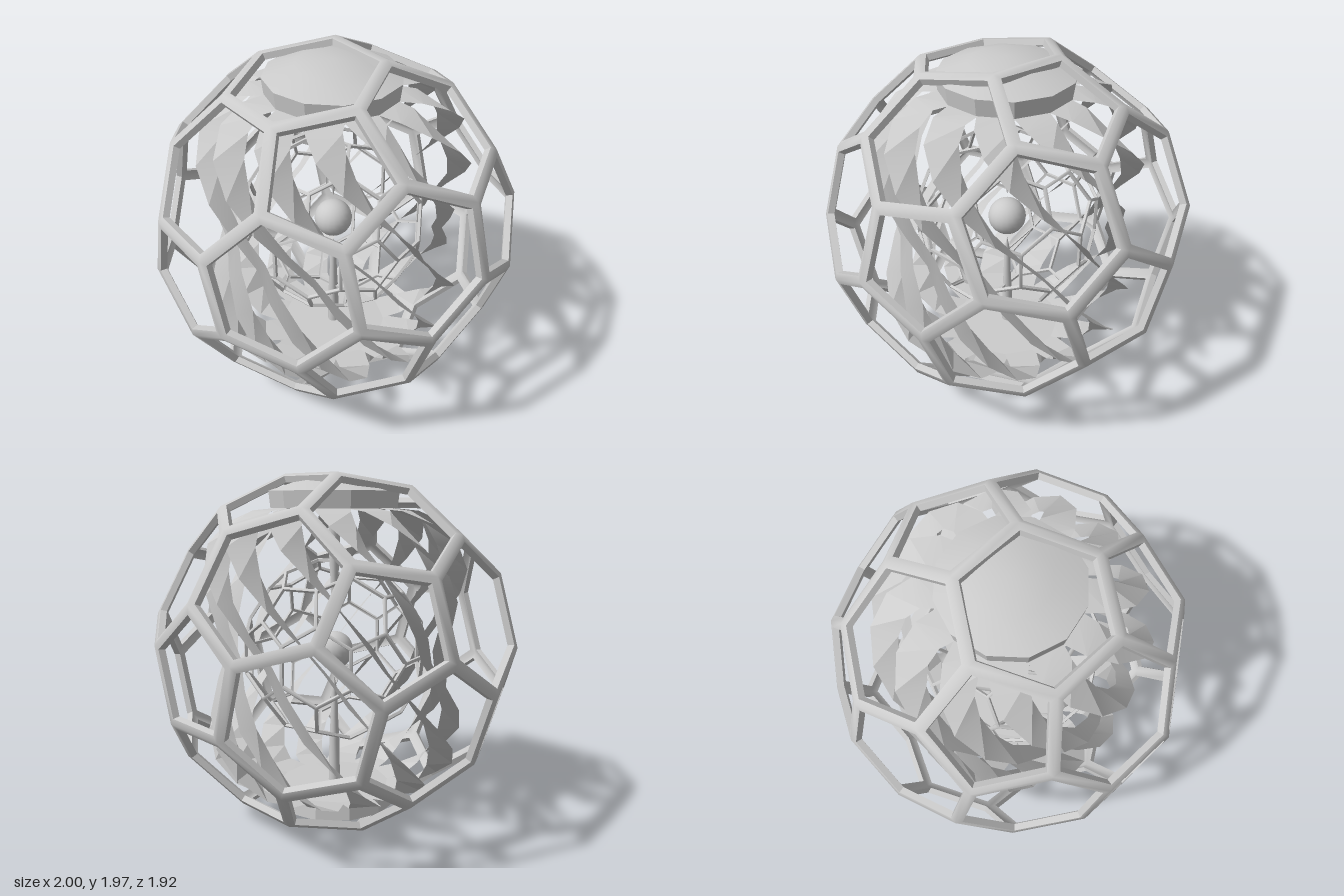
import * as THREE from 'three';
import { toCreasedNormals } from 'three/addons/utils/BufferGeometryUtils.js';

const PHI = (1 + Math.sqrt(5)) / 2;
const CENTRE = 0.984;

// All sign changes and cyclic shifts of a coordinate triple, without repeats
function orbit(a, b, c) {
  const found = new Map();
  for (const s of [-1, 1]) for (const t of [-1, 1]) for (const u of [-1, 1]) {
    const p = [a * s, b * t, c * u];
    for (let k = 0; k < 3; k++) {
      const v = new THREE.Vector3(p[k], p[(k + 1) % 3], p[(k + 2) % 3]);
      found.set(v.toArray().map(n => Math.round(n * 1000) || 0).join(), v);
    }
  }
  return [...found.values()];
}

const quad = (out, a, b, c, d) => {
  for (const p of [a, b, c, a, c, d]) out.push(p.x, p.y, p.z);
};

function surface(positions, crease) {
  const g = new THREE.BufferGeometry();
  g.setAttribute('position', new THREE.Float32BufferAttribute(positions, 3));
  return toCreasedNormals(g, crease);
}

// Shell of pentagons and hexagons with every face opened to a narrow rim
function cageGeometry(radius, rim, depth) {
  const corners = [...orbit(0, 1, 3 * PHI), ...orbit(1, 2 + PHI, 2 * PHI), ...orbit(PHI, 2, 2 * PHI + 1)]
    .map(v => v.normalize().multiplyScalar(radius));
  const facing = [...orbit(0, 1, PHI), ...orbit(1, 1, 1), ...orbit(0, PHI, 1 / PHI)];
  const shrink = 1 - depth / radius;
  const low = v => v.clone().multiplyScalar(shrink);
  const out = [];
  for (const dir of facing) {
    const n = dir.clone().normalize();
    const top = Math.max(...corners.map(v => v.dot(n)));
    const loop = corners.filter(v => v.dot(n) > top - radius * 0.001);
    const mid = loop.reduce((s, v) => s.add(v), new THREE.Vector3()).divideScalar(loop.length);
    const ax = loop[0].clone().sub(mid).normalize();
    const ay = n.clone().cross(ax);
    const angle = v => Math.atan2(v.clone().sub(mid).dot(ay), v.clone().sub(mid).dot(ax));
    loop.sort((p, q) => angle(p) - angle(q));
    const apothem = loop[0].distanceTo(mid) * Math.cos(Math.PI / loop.length);
    const inset = loop.map(v => v.clone().lerp(mid, rim / apothem));
    loop.forEach((a, i) => {
      const j = (i + 1) % loop.length, b = loop[j], c = inset[j], d = inset[i];
      quad(out, a, b, c, d);
      quad(out, d, c, low(c), low(d));
      quad(out, low(d), low(c), low(b), low(a));
    });
  }
  return surface(out, 0.9);
}

// Spiral ribbon whose width stays level: broad at both roots, slim at the equator
function bladeGeometry() {
  // radius, height, half width
  const half = [[0.30, 0.80, 0.095], [0.44, 0.785, 0.088], [0.55, 0.72, 0.082], [0.63, 0.61, 0.075],
    [0.67, 0.47, 0.065], [0.67, 0.32, 0.05], [0.63, 0.15, 0.036], [0.59, 0, 0.03]];
  const profile = [...half, ...half.slice(0, -1).reverse().map(([r, y, w]) => [r, -y, w])];
  const path = profile.map(([r, y]) => {
    const a = 1.25 * (0.8 - y);
    return new THREE.Vector3(Math.sin(a) * r, y, Math.cos(a) * r);
  });
  const last = path.length - 1;
  const edges = path.map((p, i) => {
    const t = path[Math.min(i + 1, last)].clone().sub(path[Math.max(i - 1, 0)]);
    const across = new THREE.Vector3(-t.z, 0, t.x).normalize();
    return [-1, 1].map(s => p.clone().addScaledVector(across, s * profile[i][2]));
  });
  const out = [];
  for (let i = 0; i < last; i++) quad(out, edges[i][0], edges[i][1], edges[i + 1][1], edges[i + 1][0]);
  return surface(out, 0.3);
}

function lathe(points, sides, crease) {
  const g = new THREE.LatheGeometry(points.map(p => new THREE.Vector2(...p)), sides);
  return toCreasedNormals(g, crease);
}

export function createModel() {
  const model = new THREE.Group();
  model.name = 'cagedOrb';
  const body = new THREE.Group();
  body.name = 'orb';
  body.position.y = CENTRE;
  model.add(body);

  const grey = new THREE.MeshStandardMaterial({ color: 0xcccccc });
  const thin = new THREE.MeshStandardMaterial({ color: 0xcccccc, side: THREE.DoubleSide });
  const add = (name, geometry, material = grey, parent = body) => {
    const mesh = new THREE.Mesh(geometry, material);
    mesh.name = name;
    parent.add(mesh);
    return mesh;
  };

  // Outer cage, turned so that a pentagon faces the front
  add('outerCage', cageGeometry(1.02, 0.034, 0.036)).rotation.x = Math.atan(1 / PHI);

  // Fine inner cage and core
  add('innerCage', cageGeometry(0.53, 0.009, 0.016)).rotation.y = 0.25;
  add('core', new THREE.SphereGeometry(0.108, 20, 14));

  // Ring of twisted blades
  const blades = new THREE.Group();
  blades.name = 'blades';
  body.add(blades);
  const blade = bladeGeometry();
  const count = 12;
  for (let i = 0; i < count; i++) {
    add('blade', blade, thin, blades).rotation.y = (i + 0.5) * 2 * Math.PI / count;
  }

  // Domed cap and pointed spindle at each pole
  const cap = lathe([[0, 0.79], [0.355, 0.80], [0.365, 0.89], [0.2, 0.945], [0, 0.968]], 12, 0.45);
  const spindle = lathe([[0, 0.15], [0.018, 0.25], [0.022, 0.4], [0.03, 0.55], [0.034, 0.8]], 10, 0.7);
  for (const [side, flip] of [['top', 0], ['bottom', Math.PI]]) {
    add(side + 'Cap', cap).rotation.x = flip;
    add(side + 'Spindle', spindle).rotation.x = flip;
  }
  return model;
}
